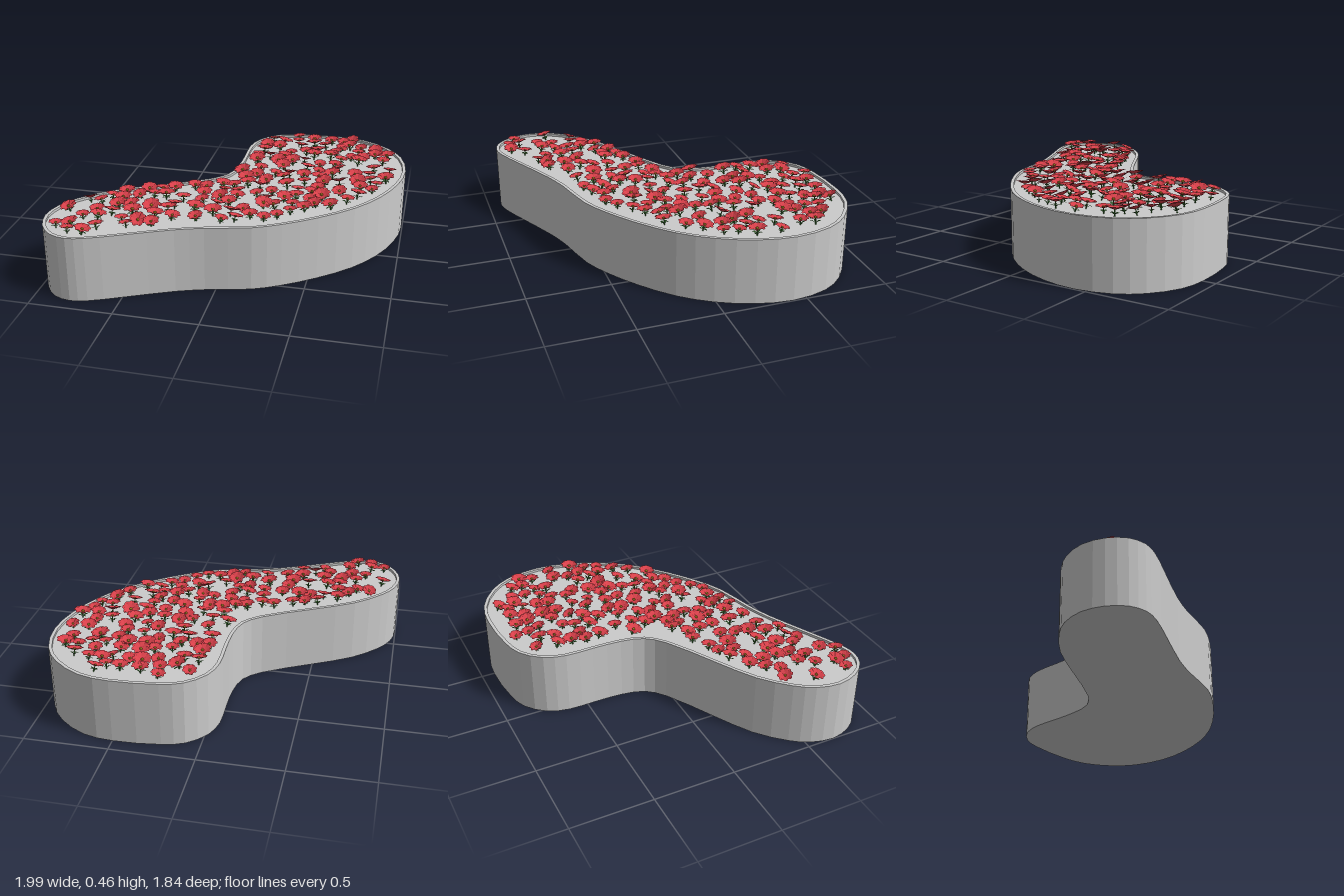
import * as THREE from 'three';
import { mergeGeometries } from 'three/addons/utils/BufferGeometryUtils.js';

const HEIGHT = 0.4, SOIL = 0.385, RIM = 0.02;

// Plan of the bed as x, z pairs
const PLAN = [
  [-0.06, -0.62], [-0.02, -0.75], [0.09, -0.86], [0.22, -0.9], [0.5, -0.92], [0.68, -0.89],
  [0.85, -0.78], [0.95, -0.64], [0.995, -0.42], [0.96, -0.2], [0.87, 0.01], [0.74, 0.19],
  [0.55, 0.36], [0.36, 0.49], [0.2, 0.57], [-0.06, 0.635], [-0.22, 0.69], [-0.5, 0.82],
  [-0.68, 0.9], [-0.78, 0.92], [-0.88, 0.89], [-0.96, 0.8], [-0.998, 0.67], [-0.97, 0.53],
  [-0.9, 0.42], [-0.74, 0.27], [-0.5, 0.135], [-0.2, -0.03], [-0.1, -0.13], [-0.065, -0.27], [-0.06, -0.45],
];

function seeded(seed) {
  return () => (seed = (seed * 16807) % 2147483647) / 2147483647;
}

function outline() {
  const curve = new THREE.CatmullRomCurve3(PLAN.map(([x, z]) => new THREE.Vector3(x, 0, z)), true, 'centripetal');
  return curve.getPoints(62).slice(0, -1).map((p) => new THREE.Vector2(p.x, p.z));
}

// Moves every outline point inward along its normal
function inset(points, d) {
  const n = points.length;
  return points.map((p, i) => {
    const t = points[(i + 1) % n].clone().sub(points[(i + n - 1) % n]).normalize();
    return new THREE.Vector2(p.x - t.y * d, p.y + t.x * d);
  });
}

// Skin between successive closed loops given as [points, height]
function loopSkin(loops) {
  const pos = [];
  for (let k = 0; k < loops.length - 1; k++) {
    const [a, ya] = loops[k], [b, yb] = loops[k + 1];
    a.forEach((p, i) => {
      const j = (i + 1) % a.length;
      const A = [p.x, ya, p.y], B = [b[i].x, yb, b[i].y];
      const C = [a[j].x, ya, a[j].y], D = [b[j].x, yb, b[j].y];
      pos.push(...A, ...B, ...C, ...B, ...D, ...C);
    });
  }
  const g = new THREE.BufferGeometry();
  g.setAttribute('position', new THREE.Float32BufferAttribute(pos, 3));
  g.computeVertexNormals();
  return g;
}

// Flat cap over the outline, facing up or down
function cap(points, y, up) {
  const s = up ? -1 : 1;
  const shape = new THREE.Shape(points.map((p) => new THREE.Vector2(p.x, s * p.y)));
  return new THREE.ShapeGeometry(shape).rotateX(s * Math.PI / 2).translate(0, y, 0);
}

// A creased blade pointing along +x; rows are [distance, half width, height]
function blade(rows) {
  const pos = [];
  for (let i = 0; i < rows.length - 1; i++) {
    const [r0, w0, y0] = rows[i], [r1, w1, y1] = rows[i + 1];
    for (const s of [-1, 1]) {
      const a = [r0, y0, 0], b = [r0, y0 + w0 * 0.25, s * w0];
      const c = [r1, y1 + w1 * 0.25, s * w1], d = [r1, y1, 0];
      if (s > 0) pos.push(...a, ...b, ...c, ...a, ...c, ...d);
      else pos.push(...a, ...c, ...b, ...a, ...d, ...c);
    }
  }
  const g = new THREE.BufferGeometry();
  g.setAttribute('position', new THREE.Float32BufferAttribute(pos, 3));
  g.computeVertexNormals();
  return g;
}

function whorl(geometry, count, turn = 0) {
  const parts = [];
  for (let i = 0; i < count; i++) parts.push(geometry.clone().rotateY(turn + (i / count) * Math.PI * 2));
  return mergeGeometries(parts);
}

function bare(geometry) {
  const g = geometry.toNonIndexed();
  g.deleteAttribute('uv');
  return g;
}

// Random spots inside the bed, kept apart from each other
function scatter(points, count, gap, random) {
  const spots = [];
  const inside = (x, z) => {
    let hit = false;
    points.forEach((p, i) => {
      const q = points[(i + 1) % points.length];
      if ((p.y > z) !== (q.y > z) && x < ((q.x - p.x) * (z - p.y)) / (q.y - p.y) + p.x) hit = !hit;
    });
    return hit;
  };
  for (let tries = 0; tries < 20000 && spots.length < count; tries++) {
    const x = random() * 2 - 1, z = random() * 2 - 1;
    if (inside(x, z) && spots.every((s) => Math.hypot(s.x - x, s.y - z) > gap)) spots.push(new THREE.Vector2(x, z));
  }
  return spots;
}

export function createModel() {
  const model = new THREE.Group();
  model.name = 'flowerBed';
  const add = (name, geometry, color, side = THREE.FrontSide) => {
    const mesh = new THREE.Mesh(geometry, new THREE.MeshStandardMaterial({ color, side, flatShading: true }));
    mesh.name = name;
    model.add(mesh);
  };

  // Planter wall with rim, soil and underside
  const outer = outline(), inner = inset(outer, RIM);
  add('planterWall', loopSkin([[outer, 0], [outer, HEIGHT], [inner, HEIGHT], [inner, SOIL]]), 0xcccccc);
  add('soil', cap(inner, SOIL, true), 0xcccccc);
  add('planterBase', cap(outer, 0, false), 0xcccccc);

  // One flower, standing on its own origin
  const petals = whorl(blade([[0.004, 0.005, 0.028], [0.022, 0.014, 0.032], [0.038, 0.017, 0.038], [0.05, 0.007, 0.039]]), 8);
  const heart = bare(new THREE.SphereGeometry(0.009, 8, 5).scale(1, 0.6, 1).translate(0, 0.033, 0));
  const stem = bare(new THREE.CylinderGeometry(0.003, 0.004, 0.03, 5).translate(0, 0.015, 0));
  const leaves = whorl(blade([[0.002, 0.002, 0.008], [0.016, 0.008, 0.015], [0.032, 0, 0.016]]), 4, 0.4);
  const greens = mergeGeometries([stem, leaves]);

  // Scatter turned, tilted and scaled copies over the soil
  const random = seeded(4711);
  const made = { petals: [], hearts: [], greens: [] };
  const dummy = new THREE.Object3D();
  for (const spot of scatter(inset(outer, 0.07), 148, 0.071, random)) {
    dummy.position.set(spot.x, SOIL, spot.y);
    dummy.rotation.set((random() - 0.5) * 0.55, random() * Math.PI * 2, (random() - 0.5) * 0.55);
    dummy.scale.setScalar(0.8 + random() * 0.32);
    dummy.scale.y *= 1.25;
    dummy.updateMatrix();
    made.petals.push(petals.clone().applyMatrix4(dummy.matrix));
    made.hearts.push(heart.clone().applyMatrix4(dummy.matrix));
    made.greens.push(greens.clone().applyMatrix4(dummy.matrix));
  }
  add('flowerPetals', mergeGeometries(made.petals), 0xd9404a, THREE.DoubleSide);
  add('flowerHearts', mergeGeometries(made.hearts), 0xc9962c);
  add('stemsAndLeaves', mergeGeometries(made.greens), 0x3f7a35, THREE.DoubleSide);

  return model;
}
